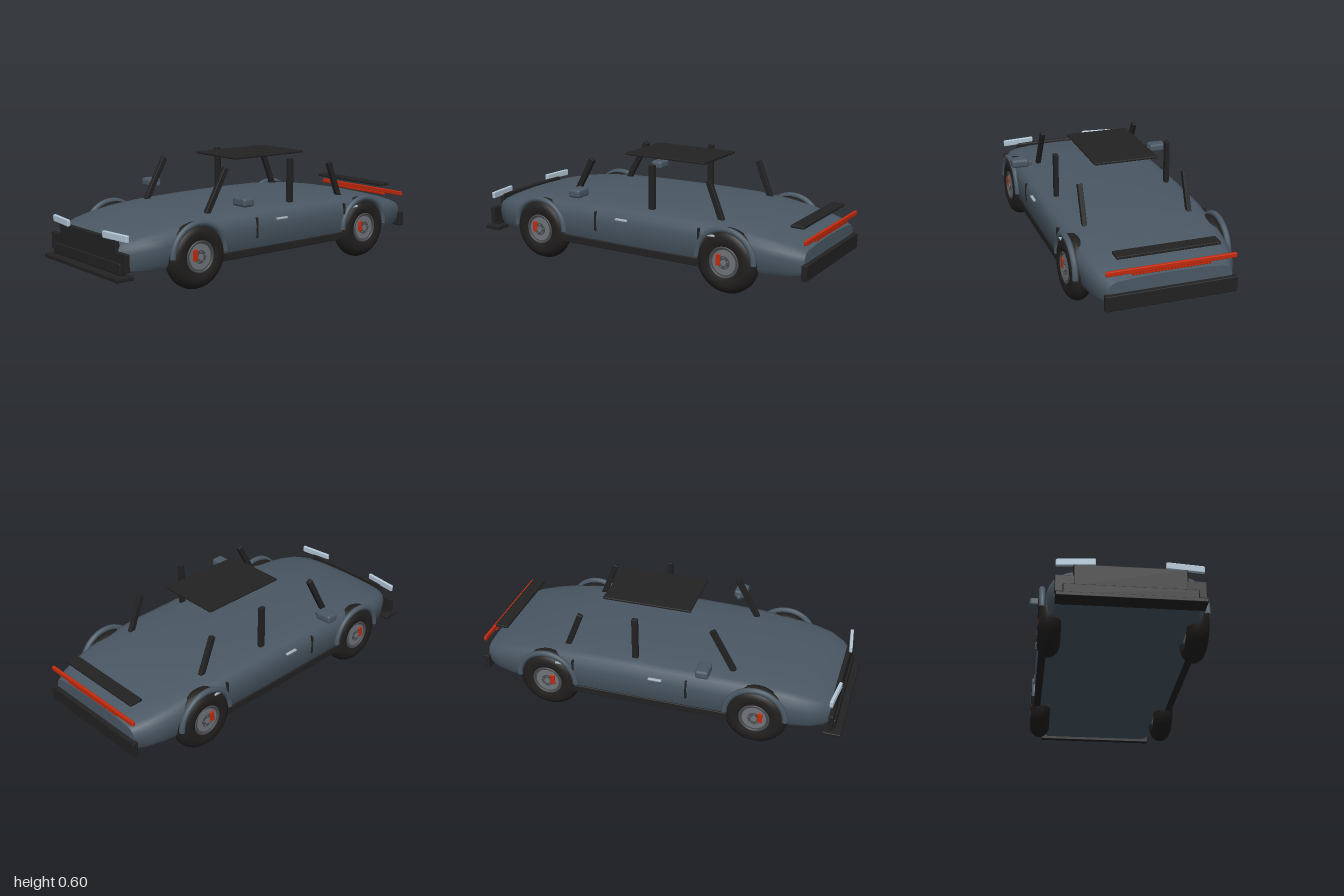
import * as THREE from 'three';
import { toCreasedNormals } from 'three/addons/utils/BufferGeometryUtils.js';
import { RoundedBoxGeometry } from 'three/addons/geometries/RoundedBoxGeometry.js';

const material = (name, color) => {
  const m = new THREE.MeshStandardMaterial({ color });
  m.name = name;
  return m;
};

export function createModel() {
  const paint = material('slate paint', 0x4a5864);
  const trim = material('black trim', 0x222222);
  const rubber = material('tire rubber', 0x211f1e);
  const steel = material('wheel steel', 0x70757a);
  const darkSteel = material('dark steel', 0x4a4d50);
  const lamp = material('headlight glass', 0xb4c8d8);
  const chrome = material('handle chrome', 0xa9b3bb);
  const red = material('signal red', 0xc42a0c);

  const car = new THREE.Group();
  car.name = 'car';

  const add = (name, geometry, mat, x = 0, y = 0, z = 0) => {
    const mesh = new THREE.Mesh(geometry, mat);
    mesh.name = name;
    mesh.position.set(x, y, z);
    car.add(mesh);
    return mesh;
  };
  // Box given by its extents along each axis
  const span = (name, mat, [x0, x1], [y0, y1], [z0, z1], r = 0.004) => add(name,
    new RoundedBoxGeometry(x1 - x0, y1 - y0, z1 - z0, 2, r), mat,
    (x0 + x1) / 2, (y0 + y1) / 2, (z0 + z1) / 2);

  // Body shell: sections of z, half width, bottom, top
  const sections = [
    [0.94, 0.285, 0.14, 0.262], [0.9, 0.325, 0.132, 0.287], [0.83, 0.366, 0.13, 0.31],
    [0.74, 0.383, 0.13, 0.33], [0.6, 0.394, 0.13, 0.35], [0.42, 0.402, 0.13, 0.363],
    [0.2, 0.405, 0.13, 0.369], [-0.1, 0.406, 0.13, 0.373], [-0.4, 0.404, 0.13, 0.37],
    [-0.58, 0.398, 0.13, 0.357], [-0.72, 0.388, 0.13, 0.338], [-0.82, 0.374, 0.132, 0.318],
    [-0.91, 0.35, 0.135, 0.296], [-0.975, 0.315, 0.14, 0.272],
  ];
  car.add(makeBody(sections, paint));

  // Nose
  span('grille', trim, [-0.27, 0.27], [0.17, 0.29], [0.93, 0.955], 0.008);
  span('frontBumper', trim, [-0.318, 0.318], [0.122, 0.18], [0.93, 0.965], 0.006);
  span('splitter', trim, [-0.352, 0.352], [0.098, 0.118], [0.905, 1]);

  // Tail
  span('rearSpoiler', trim, [-0.263, 0.263], [0.358, 0.373], [-0.945, -0.873]);
  span('tailLightBar', red, [-0.33, 0.33], [0.3, 0.324], [-0.99, -0.974]);
  span('tailLightStrip', red, [-0.2, 0.2], [0.287, 0.302], [-0.986, -0.972]);
  span('rearBumper', trim, [-0.335, 0.335], [0.122, 0.202], [-0.998, -0.968]);

  span('roofPanel', trim, [-0.172, 0.172], [0.591, 0.603], [-0.34, 0.146]);

  // Leaning post between two (y, z) points
  const pillar = (name, x, [y0, z0], [y1, z1], depth) => {
    const length = Math.hypot(y1 - y0, z1 - z0);
    const mesh = add(name, new RoundedBoxGeometry(0.024, length, depth, 2, 0.003), trim,
      x, (y0 + y1) / 2, (z0 + z1) / 2);
    mesh.rotation.x = Math.atan2(z1 - z0, y1 - y0);
  };

  // Tire profile: radius, axial offset
  const tireProfile = [
    [0.078, -0.046], [0.1, -0.054], [0.125, -0.055], [0.146, -0.045], [0.161, -0.028], [0.169, -0.01],
    [0.169, 0.01], [0.161, 0.028], [0.146, 0.045], [0.125, 0.055], [0.1, 0.054], [0.078, 0.046],
  ].map(([r, a]) => new THREE.Vector2(r, a));
  const tire = new THREE.LatheGeometry(tireProfile, 40).rotateZ(-Math.PI / 2);
  const disc = (r, w, n = 32) => new THREE.CylinderGeometry(r, r, w, n).rotateZ(Math.PI / 2);
  const rim = new THREE.TorusGeometry(0.077, 0.006, 8, 36).rotateY(Math.PI / 2);
  const arch = new THREE.TorusGeometry(0.16, 0.0155, 10, 32, Math.PI).rotateY(Math.PI / 2);

  for (const [sideName, s] of [['left', 1], ['right', -1]]) {
    const side = (name, mat, [x0, x1], y, z, r) =>
      span(sideName + name, mat, s > 0 ? [x0, x1] : [-x1, -x0], y, z, r);

    for (const [end, z] of [['Front', 0.557], ['Rear', -0.587]]) {
      const x = s * 0.362, y = 0.172, label = sideName + end;
      add(label + 'Tire', tire, rubber, x, y, z);
      add(label + 'Rim', rim, darkSteel, x + s * 0.046, y, z);
      add(label + 'BrakeDisc', disc(0.078, 0.088), darkSteel, x, y, z);
      add(label + 'DiscFace', disc(0.064, 0.094), steel, x, y, z);
      add(label + 'Hub', disc(0.034, 0.1, 20), darkSteel, x, y, z);
      add(label + 'HubCap', disc(0.016, 0.106, 16), steel, x, y, z);
      // Lug nuts
      for (let i = 0; i < 5; i++) {
        const a = i * Math.PI * 0.4;
        add(label + 'LugNut', disc(0.004, 0.106, 6), steel, x, y + Math.cos(a) * 0.026, z + Math.sin(a) * 0.026);
      }
      side(end + 'Caliper', red, [0.39, 0.416], [0.155, 0.212], [z + 0.018, z + 0.044], 0.003);
      add(label + 'WheelArch', arch, paint, s * 0.403, 0.18, z);
    }

    // Sill and door details
    side('Sill', trim, [0.365, 0.403], [0.125, 0.165], [-0.45, 0.43]);
    side('FrontDoorSeam', trim, [0.39, 0.408], [0.215, 0.322], [0.183, 0.193], 0.002);
    side('RearDoorSeam', trim, [0.39, 0.408], [0.22, 0.325], [-0.443, -0.433], 0.002);
    side('FrontDoorHandle', chrome, [0.39, 0.414], [0.294, 0.305], [-0.015, 0.058]);
    side('RearDoorHandle', chrome, [0.39, 0.414], [0.294, 0.305], [-0.535, -0.465]);

    // Window posts
    pillar(sideName + 'FrontPillar', s * 0.272, [0.35, 0.412], [0.572, 0.29], 0.03);
    pillar(sideName + 'MiddlePillar', s * 0.313, [0.34, -0.113], [0.592, -0.113], 0.032);
    pillar(sideName + 'RearPillar', s * 0.281, [0.335, -0.51], [0.541, -0.428], 0.03);

    // Mirror
    side('MirrorHousing', paint, [0.361, 0.46], [0.394, 0.44], [0.25, 0.32], 0.014);
    side('MirrorStalk', paint, [0.341, 0.38], [0.398, 0.42], [0.27, 0.292], 0.006);

    // Front corner intake and slanted headlight
    side('Intake', trim, [0.262, 0.355], [0.14, 0.228], [0.93, 0.955]);
    const light = add(sideName + 'Headlight', new RoundedBoxGeometry(0.188, 0.036, 0.018, 2, 0.005), lamp,
      s * 0.258, 0.3, 0.946);
    light.rotation.y = s * 0.11;
  }
  return car;
}

// Loft a closed ring along the car; half profile is mirrored
function makeBody(sections, mat) {
  const positions = [], index = [];
  // Shoulder points: width factor, drop below the top
  const shoulder = [[1, 0.09], [0.98, 0.055], [0.93, 0.029], [0.85, 0.018], [0.6, 0.007], [0.3, 0.002]];
  let n = 0;
  for (const [z, w, bottom, top] of sections) {
    const half = [[0.93 * w, bottom], [0.975 * w, bottom + 0.025],
      ...shoulder.map(([f, drop]) => [f * w, top - drop * Math.min(1, (top - bottom) / 0.2)])];
    const ring = [...half, [0, top], ...half.slice().reverse().map(([x, y]) => [-x, y])];
    n = ring.length;
    for (const [x, y] of ring) positions.push(x, y, z);
  }
  const last = (sections.length - 1) * n;
  for (let k = 0; k < last; k += n) {
    for (let i = 0; i < n; i++) {
      const j = (i + 1) % n;
      index.push(k + i, k + n + i, k + j, k + j, k + n + i, k + n + j);
    }
  }
  for (let i = 1; i < n - 1; i++) index.push(0, i, i + 1, last, last + i + 1, last + i);
  const geometry = new THREE.BufferGeometry();
  geometry.setAttribute('position', new THREE.Float32BufferAttribute(positions, 3));
  geometry.setIndex(index);
  const body = new THREE.Mesh(toCreasedNormals(geometry, 0.7), mat);
  body.name = 'bodyShell';
  return body;
}
